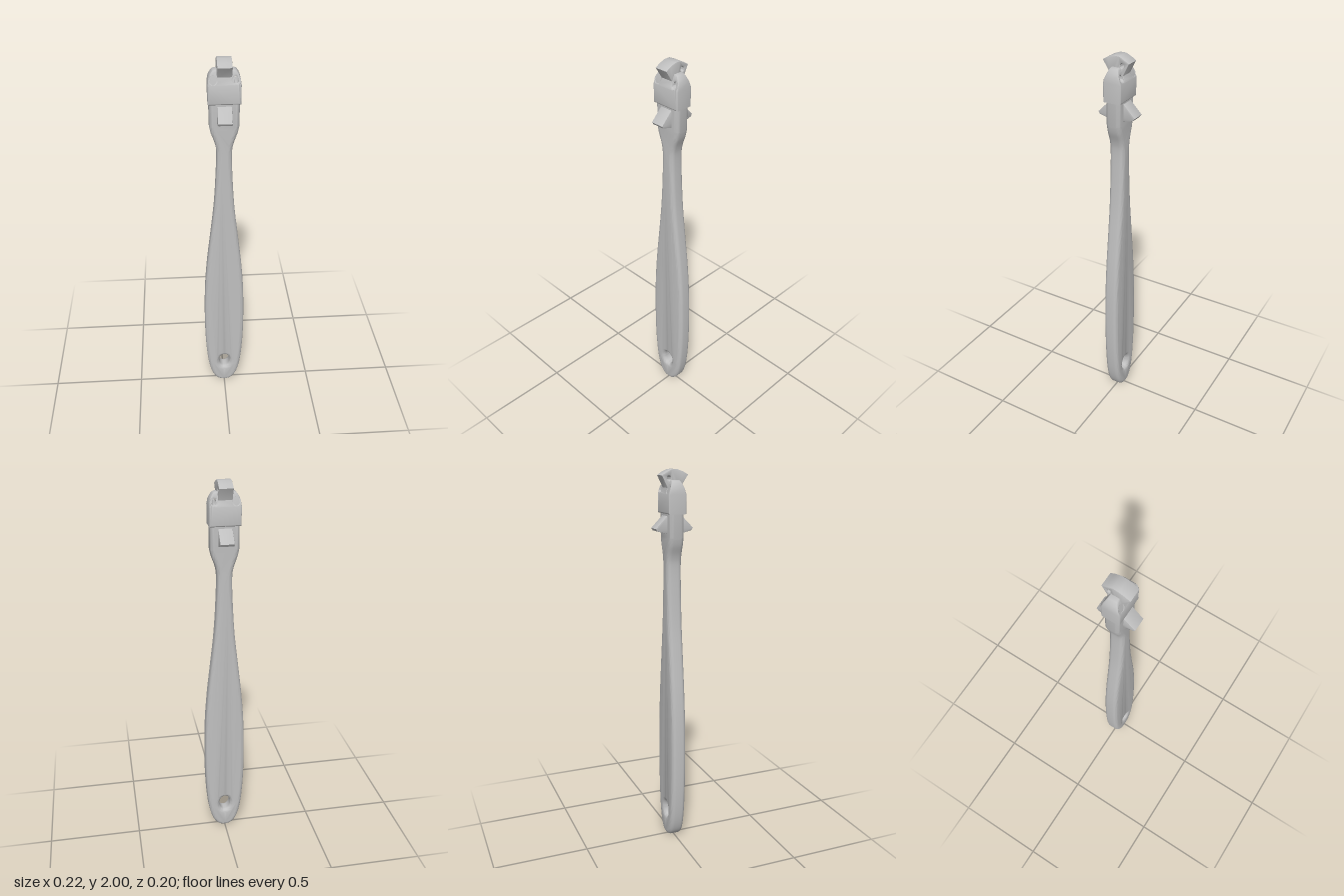
import * as THREE from 'three';
import { toCreasedNormals } from 'three/addons/utils/BufferGeometryUtils.js';

const V = (x, y) => new THREE.Vector2(x, y);

function oval(x, y, rx, ry) {
  return new THREE.Path().absellipse(x, y, rx, ry, 0, Math.PI * 2, false, 0);
}

// Rounded plate centred on z = 0; the outline is its outermost edge
function plate(shape, depth, bevel, segments = 4) {
  const g = new THREE.ExtrudeGeometry(shape, {
    depth: depth - 2 * bevel, bevelEnabled: true, bevelThickness: bevel,
    bevelSize: bevel, bevelOffset: -bevel, bevelSegments: segments, curveSegments: 16,
  });
  return g.translate(0, 0, -depth / 2 + bevel);
}

// Closed outline from the points of its +x half, bottom to top
function mirrored(half) {
  const left = half.filter(p => p.x > 0.0001).reverse().map(p => V(-p.x, p.y));
  return new THREE.Shape([...half, ...left]);
}

export function createModel() {
  const group = new THREE.Group();
  const grey = new THREE.MeshStandardMaterial({ color: 0xc0c0c0 });
  grey.name = 'light grey';

  const add = (name, geometry, crease = 0.6) => {
    const mesh = new THREE.Mesh(toCreasedNormals(geometry, crease), grey);
    mesh.name = name;
    group.add(mesh);
  };

  // Handle: paddle outline narrowing to a neck, with a hanging hole
  const curve = new THREE.SplineCurve([
    V(0, 0.004), V(0.035, 0.014), V(0.067, 0.055), V(0.09, 0.14), V(0.104, 0.28),
    V(0.109, 0.46), V(0.105, 0.68), V(0.092, 0.86), V(0.073, 1.03), V(0.052, 1.22),
    V(0.041, 1.4), V(0.038, 1.52), V(0.045, 1.575), V(0.064, 1.63), V(0.073, 1.67),
  ]);
  const handle = mirrored([...curve.getPoints(70), V(0.074, 1.86)]);
  handle.holes.push(oval(0, 0.16, 0.03, 0.045));
  add('handle', plate(handle, 0.079, 0.022, 5), 0.7);

  // Head: thick collar rising into two drilled ears with a slot between
  const ear = [V(0.078, 1.785), V(0.079, 1.88), V(0.075, 1.908), V(0.067, 1.928),
    V(0.056, 1.943), V(0.045, 1.947), V(0.03, 1.947), V(0.03, 1.885)];
  const head = mirrored(ear);
  for (const s of [-1, 1]) head.holes.push(oval(s * 0.053, 1.904, 0.013, 0.015));
  const headGeo = plate(head, 0.095, 0.008, 3);
  const pos = headGeo.attributes.position;
  for (let i = 0; i < pos.count; i++) {
    const t = THREE.MathUtils.clamp((pos.getY(i) - 1.885) / 0.06, 0, 1);
    pos.setZ(i, pos.getZ(i) * (1 - 0.5 * t));
  }
  add('head', headGeo);

  // Pivoting block: flared top on a short stem, with a cross hole
  const block = new THREE.Shape([
    V(-0.03, 1.85), V(0.03, 1.85), V(0.034, 1.915), V(0.072, 1.973), V(0.045, 1.988),
    V(0.015, 1.999), V(-0.015, 1.999), V(-0.045, 1.985), V(-0.067, 1.97), V(-0.036, 1.908),
  ]);
  block.holes.push(oval(-0.03, 1.957, 0.01, 0.013));
  add('pivotBlock', plate(block, 0.07, 0.003, 2).rotateY(-Math.PI / 2));

  // Thumb wedges: one bar standing out of the front and the back
  const wedges = mirrored([V(0.03, 1.685), V(0.092, 1.702), V(0.1, 1.714), V(0.03, 1.785)]);
  add('thumbWedges', plate(wedges, 0.07, 0.003, 2).rotateY(-Math.PI / 2));

  return group;
}
